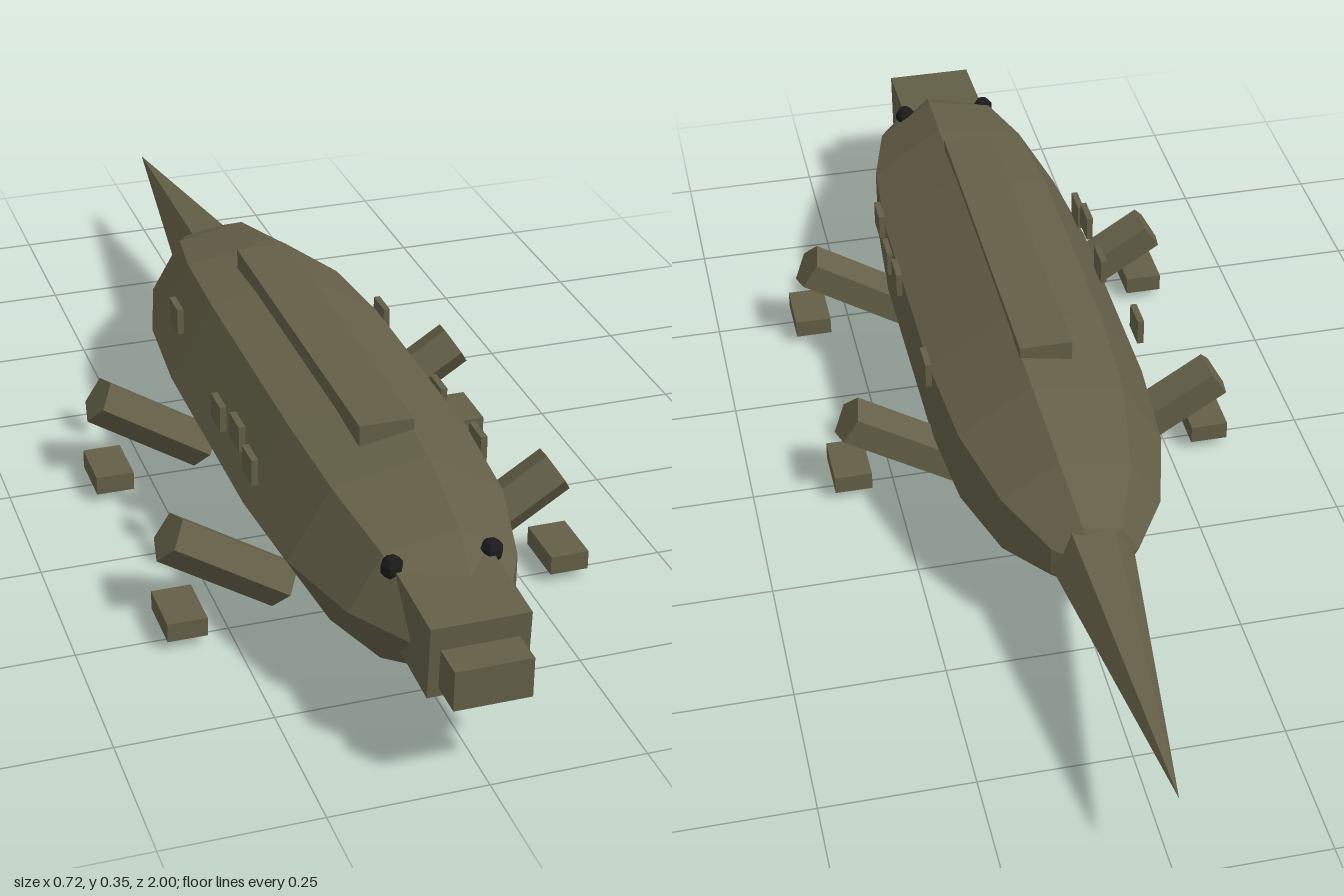
import * as THREE from 'three';

export function createModel() {
  const group = new THREE.Group();
  const hide = new THREE.MeshStandardMaterial({ color: 0x635f47, flatShading: true });
  hide.name = 'olive hide';
  const black = new THREE.MeshStandardMaterial({ color: 0x1a1a1a, flatShading: true });
  black.name = 'eye black';

  const add = (name, geometry, x, y, z, material = hide) => {
    const mesh = new THREE.Mesh(geometry, material);
    mesh.name = name;
    mesh.position.set(x, y, z);
    group.add(mesh);
    return mesh;
  };
  const box = (name, w, h, d, x, y, z) => add(name, new THREE.BoxGeometry(w, h, d), x, y, z);

  // Body: seven-sided stretched capsule lying along z
  const profile = [];
  for (const end of [-1, 1]) {
    for (let i = 0; i <= 4; i++) {
      const a = (end < 0 ? 4 - i : i) * Math.PI / 8;
      profile.push(new THREE.Vector2(0.2 * Math.cos(a), end * (0.22 + 0.49 * Math.sin(a))));
    }
  }
  profile[0].x = profile[9].x = 0;
  const bodyShape = new THREE.LatheGeometry(profile, 7, -Math.PI / 2);
  bodyShape.rotateX(Math.PI / 2).scale(1, 0.83, 1);
  add('body', bodyShape, 0, 0.178, 0.2);

  // Tail: six-sided cone, point to the back
  const tailShape = new THREE.ConeGeometry(0.073, 0.55, 6, 1, false, Math.PI / 2);
  tailShape.rotateX(-Math.PI / 2);
  add('tail', tailShape, 0, 0.17, -0.725);

  // Head, nose and back ridge
  box('head', 0.156, 0.122, 0.2, -0.001, 0.194, 0.842).rotation.x = 0.05;
  box('nose', 0.122, 0.067, 0.14, -0.001, 0.177, 0.93);
  box('backRidge', 0.09, 0.045, 0.665, 0, 0.3295, 0.2);

  // Eyes
  for (const x of [-0.08, 0.077]) {
    add('eye', new THREE.SphereGeometry(0.019, 6, 5), x, 0.258, 0.785, black);
  }

  // Splayed five-sided legs with separate box feet
  for (const z of [0.447, -0.023]) {
    for (const side of [-1, 1]) {
      const leg = new THREE.CylinderGeometry(0.043, 0.043, 0.226, 5);
      const x = side < 0 ? -0.2375 : 0.2325;
      const y = side < 0 ? 0.095 : 0.103;
      add('leg', leg, x, y, z).rotation.z = -side * 1.0;
      box('foot', 0.066, 0.033, 0.1, side * 0.325, 0.0315, z + 0.034);
    }
  }

  // Small square scales on the flanks: [side, y, z]
  const scales = [
    [1, 0.243, 0.455], [1, 0.215, 0.374], [1, 0.237, 0.274], [1, 0.247, -0.012],
    [-1, 0.24, 0.41], [-1, 0.262, 0.34], [-1, 0.24, 0.23], [-1, 0.293, -0.03],
  ];
  for (const [side, y, z] of scales) box('sideScale', 0.011, 0.046, 0.053, side * 0.185, y, z);

  return group;
}
